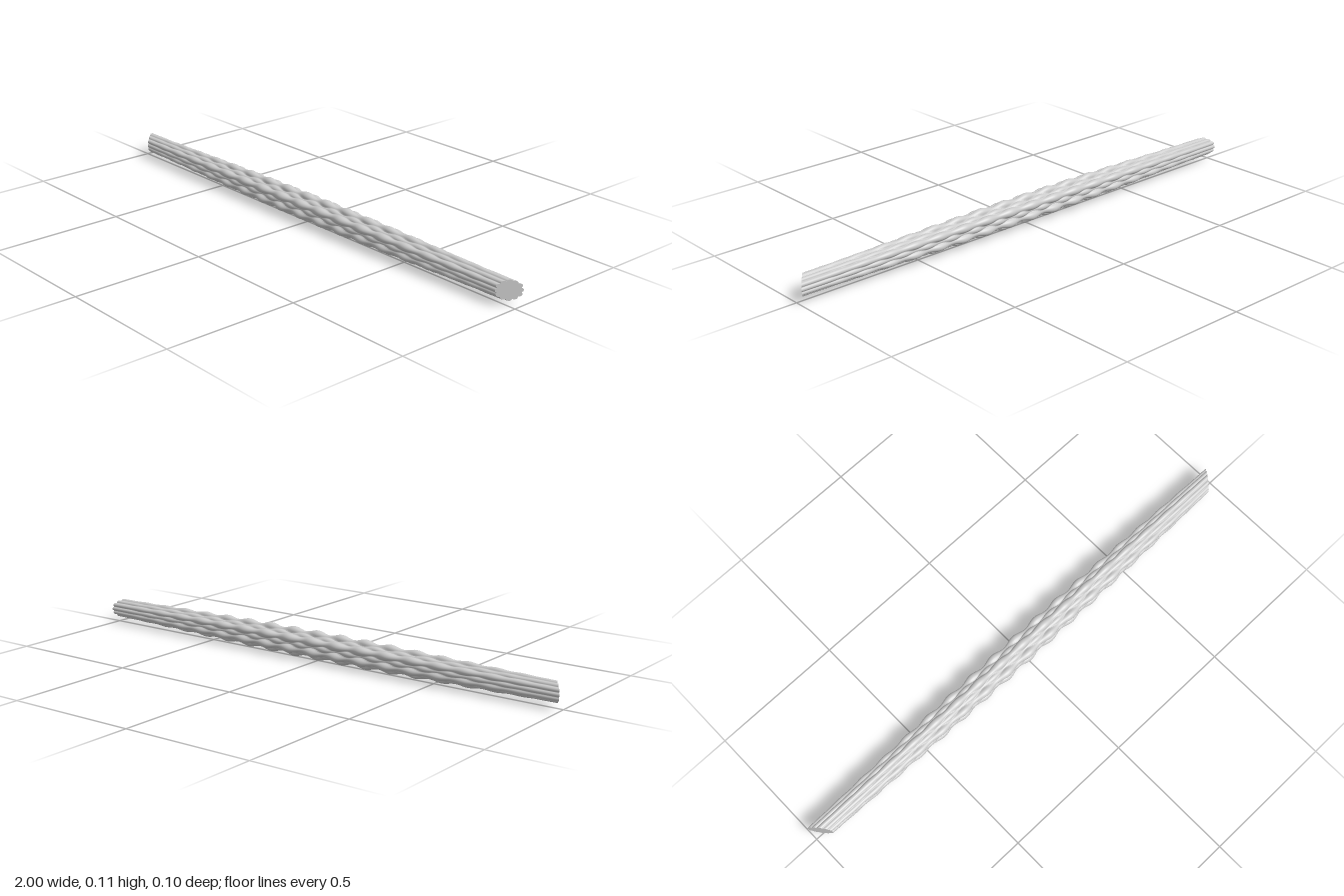
import * as THREE from 'three';

const ROWS = 240, SIDES = 144, LOBES = 12, CENTRE_Y = 0.059;
const BUMP_PITCH = 0.107;

// Distance to the far side of a round lobe, seen from the axis at angle d from it
function lobeReach(d, outer, width) {
  const c = outer - width;
  const q = width * width - (c * Math.sin(d)) ** 2;
  return q > 0 && Math.cos(d) > 0 ? c * Math.cos(d) + Math.sqrt(q) : 0;
}

// Fluted section: six main lobes and six minor ones, swelling into staggered beads mid-length
function radiusAt(t, angle) {
  const swell = (1 - t * t) ** 1.4;
  const wave = Math.cos((2 * Math.PI * t) / BUMP_PITCH);
  let r = 0.026 + 0.006 * swell;
  for (let i = 0; i < LOBES; i++) {
    const d = angle - (i * 2 * Math.PI) / LOBES;
    const main = i % 2 === 0;
    const outer = main ? 0.0375 + swell * (0.0135 + 0.0055 * wave) : 0.0365 + swell * (0.005 - 0.004 * wave);
    const width = main ? 0.0085 + swell * (0.005 + 0.003 * wave) : 0.0083 + swell * (0.002 - 0.002 * wave);
    r = Math.max(r, lobeReach(d, outer, width));
  }
  return r;
}

// Point on the surface; both ends are mitred so the back is longer than the front
function pointAt(t, angle, scale = 1) {
  const r = radiusAt(t, angle) * scale;
  const y = r * Math.cos(angle), z = r * Math.sin(angle);
  const x = t - Math.sign(t) * Math.abs(t) ** 12 * 0.8 * (z + 0.034);
  return [x, CENTRE_Y + y, z];
}

function barGeometry() {
  const pos = [], index = [];
  for (let i = 0; i <= ROWS; i++) {
    for (let j = 0; j < SIDES; j++) pos.push(...pointAt((2 * i) / ROWS - 1, (j * 2 * Math.PI) / SIDES));
  }
  for (let i = 0; i < ROWS; i++) {
    for (let j = 0; j < SIDES; j++) {
      const k = (j + 1) % SIDES;
      const a = i * SIDES + j, b = i * SIDES + k, c = a + SIDES, d = b + SIDES;
      index.push(a, b, c, b, d, c);
    }
  }
  return finish(pos, index);
}

function capGeometry(side) {
  const pos = [...pointAt(side, 0, 0)], index = [];
  for (let j = 0; j < SIDES; j++) {
    pos.push(...pointAt(side, (j * 2 * Math.PI) / SIDES));
    const a = j + 1, b = ((j + 1) % SIDES) + 1;
    index.push(0, ...(side > 0 ? [a, b] : [b, a]));
  }
  return finish(pos, index);
}

function finish(pos, index) {
  const g = new THREE.BufferGeometry();
  g.setAttribute('position', new THREE.Float32BufferAttribute(pos, 3));
  g.setIndex(index);
  g.computeVertexNormals();
  return g;
}

export function createModel() {
  const group = new THREE.Group();
  group.name = 'flutedBar';
  const material = new THREE.MeshStandardMaterial({ color: 0xcccccc });
  const add = (name, geometry) => {
    const mesh = new THREE.Mesh(geometry, material);
    mesh.name = name;
    group.add(mesh);
  };
  add('beadedShaft', barGeometry());
  add('leftEnd', capGeometry(1));
  add('rightEnd', capGeometry(-1));
  return group;
}
